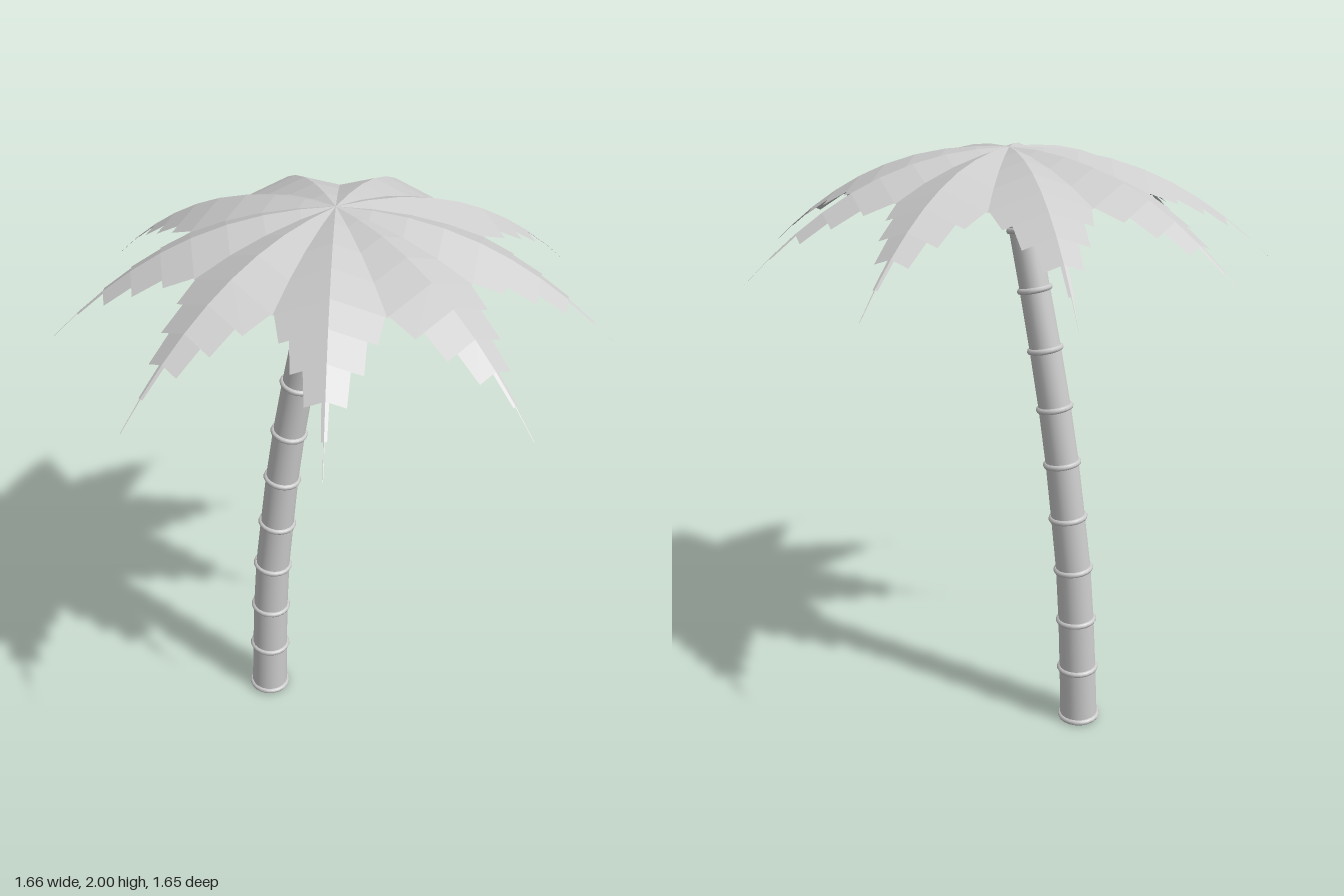
import * as THREE from 'three';

const matte = new THREE.MeshStandardMaterial({ color: 0xcccccc, side: THREE.DoubleSide });
matte.name = 'light grey';

// Joints of the leaning trunk: x, y, z
const JOINTS = [
  [-0.262, 0.011, 0.064], [-0.257, 0.207, 0.057], [-0.25, 0.398, 0.051], [-0.238, 0.594, 0.045],
  [-0.218, 0.785, 0.037], [-0.196, 0.98, 0.03], [-0.168, 1.172, 0.024], [-0.133, 1.367, 0.02],
  [-0.093, 1.56, 0.02], [-0.05, 1.75, 0.022], [-0.005, 1.93, 0.022],
].map((p) => new THREE.Vector3(...p));

// Frond bands: inner radius, outer radius, half-width at each end
const BANDS = [
  [0, 0.105, 0.06, 0.08], [0.105, 0.21, 0.11, 0.12], [0.21, 0.315, 0.14, 0.15],
  [0.315, 0.42, 0.155, 0.155], [0.42, 0.51, 0.148, 0.13], [0.51, 0.6, 0.102, 0.096],
  [0.6, 0.685, 0.062, 0.055], [0.685, 0.767, 0.01, 0.008], [0.767, 0.845, 0.002, 0.001],
];

function mesh(geometry, name, parent) {
  const m = new THREE.Mesh(geometry, matte);
  m.name = name;
  parent.add(m);
  return m;
}

// Point on a frond: arched along its length, folded down on both sides of the midrib
function frondPoint(r, w) {
  return [r, 1.998 - 0.53 * Math.pow(r, 2.3) - 0.35 * Math.abs(w), w];
}

function frondGeometry() {
  const pos = [];
  for (const [r0, r1, w0, w1] of BANDS) {
    for (const side of [1, -1]) {
      const a = frondPoint(r0, 0), b = frondPoint(r1, 0);
      const c = frondPoint(r1, side * w1), d = frondPoint(r0, side * w0);
      const tris = side > 0 ? [a, c, b, a, d, c] : [a, b, c, a, c, d];
      pos.push(...tris.flat());
    }
  }
  const g = new THREE.BufferGeometry();
  g.setAttribute('position', new THREE.Float32BufferAttribute(pos, 3));
  g.computeVertexNormals();
  return g;
}

export function createModel() {
  const model = new THREE.Group();
  model.name = 'palmTree';
  const up = new THREE.Vector3(0, 1, 0);

  // Trunk segments, with a raised ring at each joint
  const trunk = new THREE.Group();
  trunk.name = 'trunk';
  model.add(trunk);
  const radius = (i) => 0.066 - 0.0021 * i;
  for (let i = 0; i < JOINTS.length - 1; i++) {
    const dir = JOINTS[i + 1].clone().sub(JOINTS[i]);
    const length = dir.length();
    const turn = new THREE.Quaternion().setFromUnitVectors(up, dir.normalize());
    const segment = mesh(new THREE.CylinderGeometry(radius(i + 1), radius(i), length, 20), 'trunkSegment', trunk);
    segment.position.copy(JOINTS[i]).lerp(JOINTS[i + 1], 0.5);
    segment.quaternion.copy(turn);

    const ring = mesh(new THREE.TorusGeometry(radius(i) - 0.001, 0.01, 8, 20).rotateX(Math.PI / 2), 'trunkRing', trunk);
    ring.position.copy(JOINTS[i]);
    ring.quaternion.copy(turn);
  }

  // Coconuts under the crown
  for (const [x, y, z] of [[-0.042, 1.858, 0.025], [0.015, 1.88, 0.085], [0.02, 1.872, -0.03]]) {
    mesh(new THREE.SphereGeometry(0.038, 20, 14), 'coconut', model).position.set(x, y, z);
  }

  // Nine fronds around the crown
  const crown = new THREE.Group();
  crown.name = 'crown';
  crown.position.z = 0.02;
  model.add(crown);
  const frond = frondGeometry();
  for (let k = 0; k < 9; k++) {
    mesh(frond, 'frond', crown).rotation.y = THREE.MathUtils.degToRad(91.3 - 40 * k);
  }
  return model;
}
